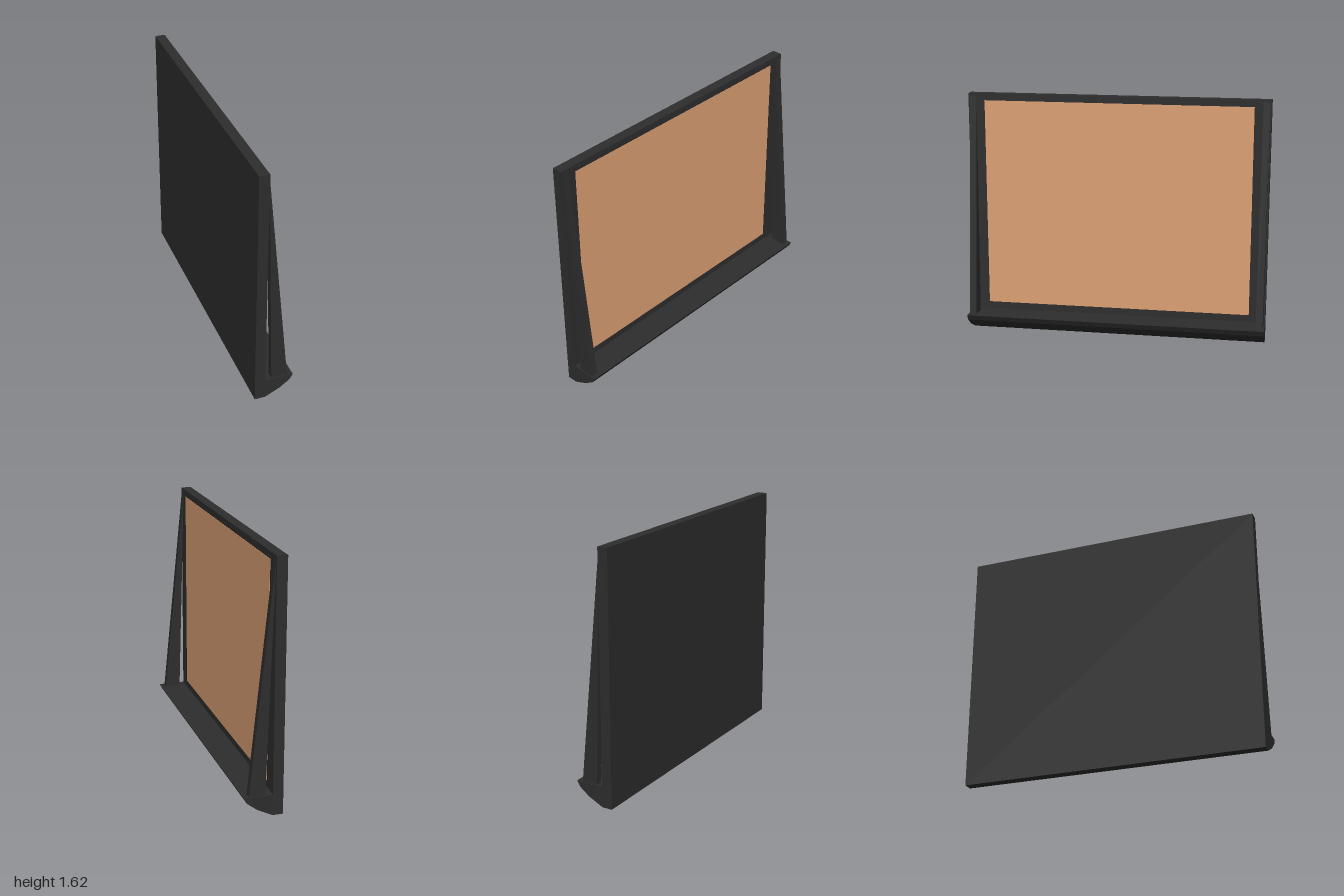
import * as THREE from 'three';

const dark = new THREE.MeshStandardMaterial({ color: 0x2d2d2d, flatShading: true });
const tan = new THREE.MeshStandardMaterial({ color: 0xdca074 });

// Extrudes an x-y profile along z between z0 and z1
function prism(name, points, z0, z1) {
  const shape = new THREE.Shape(points.map(([x, y]) => new THREE.Vector2(x, y)));
  const geometry = new THREE.ExtrudeGeometry(shape, { depth: z1 - z0, bevelEnabled: false });
  geometry.translate(0, 0, z0);
  const mesh = new THREE.Mesh(geometry, dark);
  mesh.name = name;
  return mesh;
}

function box(name, material, x0, x1, y0, y1, halfZ) {
  const mesh = new THREE.Mesh(new THREE.BoxGeometry(x1 - x0, y1 - y0, halfZ * 2), material);
  mesh.position.set((x0 + x1) / 2, (y0 + y1) / 2, 0);
  mesh.name = name;
  return mesh;
}

export function createModel() {
  const model = new THREE.Group();
  model.name = 'wallBoard';

  // Upright backing board with a coloured panel on its face
  model.add(box('backBoard', dark, -0.127, -0.06, 0, 1.625, 1));
  model.add(box('panel', tan, -0.08, -0.058, 0.185, 1.58, 0.89));

  // Full-width ledge with a faceted underside
  model.add(prism('ledge', [
    [-0.06, 0], [0.04, 0.05], [0.105, 0.1], [0.125, 0.137], [-0.06, 0.137],
  ], -1, 1));

  // Tapering struts from the ledge to the top of the board
  const strut = [[-0.06, 1.61], [-0.015, 0.137], [0.09, 0.137]];
  model.add(prism('leftStrut', strut, -0.99, -0.945));
  model.add(prism('rightStrut', strut, 0.945, 0.99));

  return model;
}
